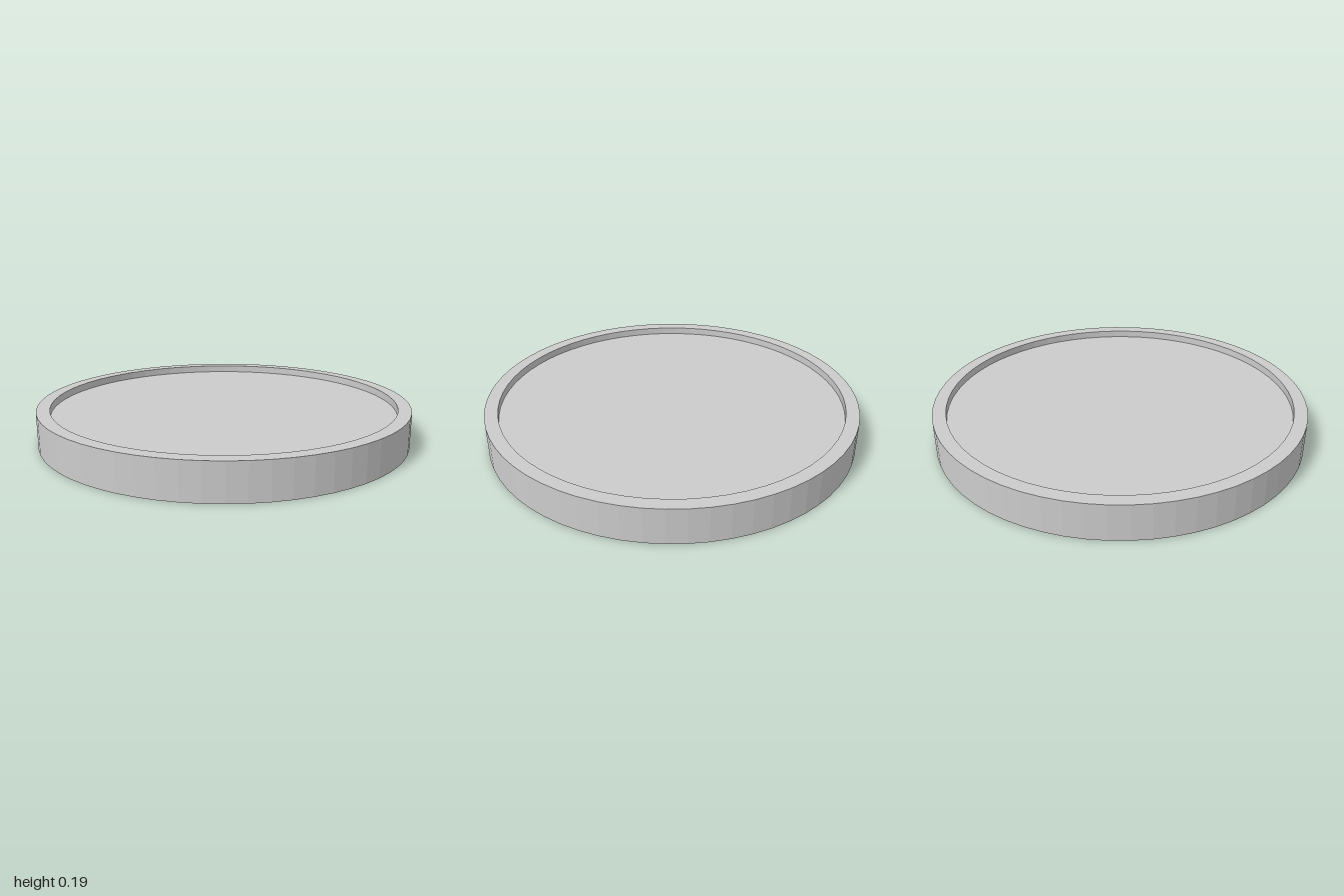
import * as THREE from 'three';

const SIDES = 64;
const RADIUS = 1;
const HEIGHT = 0.19;
const INNER_RADIUS = 0.93;
const FLOOR_HEIGHT = 0.15;

export function createModel() {
  const group = new THREE.Group();
  group.name = 'roundTray';

  // Closed section: underside, outer wall, flat rim, inner wall, recessed floor
  const profile = [
    [0, 0],
    [RADIUS, 0],
    [RADIUS, HEIGHT],
    [INNER_RADIUS, HEIGHT],
    [INNER_RADIUS, FLOOR_HEIGHT],
    [0, FLOOR_HEIGHT],
  ].map(([x, y]) => new THREE.Vector2(x, y));

  const material = new THREE.MeshStandardMaterial({ color: 0xcccccc, flatShading: true });
  const tray = new THREE.Mesh(new THREE.LatheGeometry(profile, SIDES), material);
  tray.name = 'trayBody';
  group.add(tray);

  return group;
}
